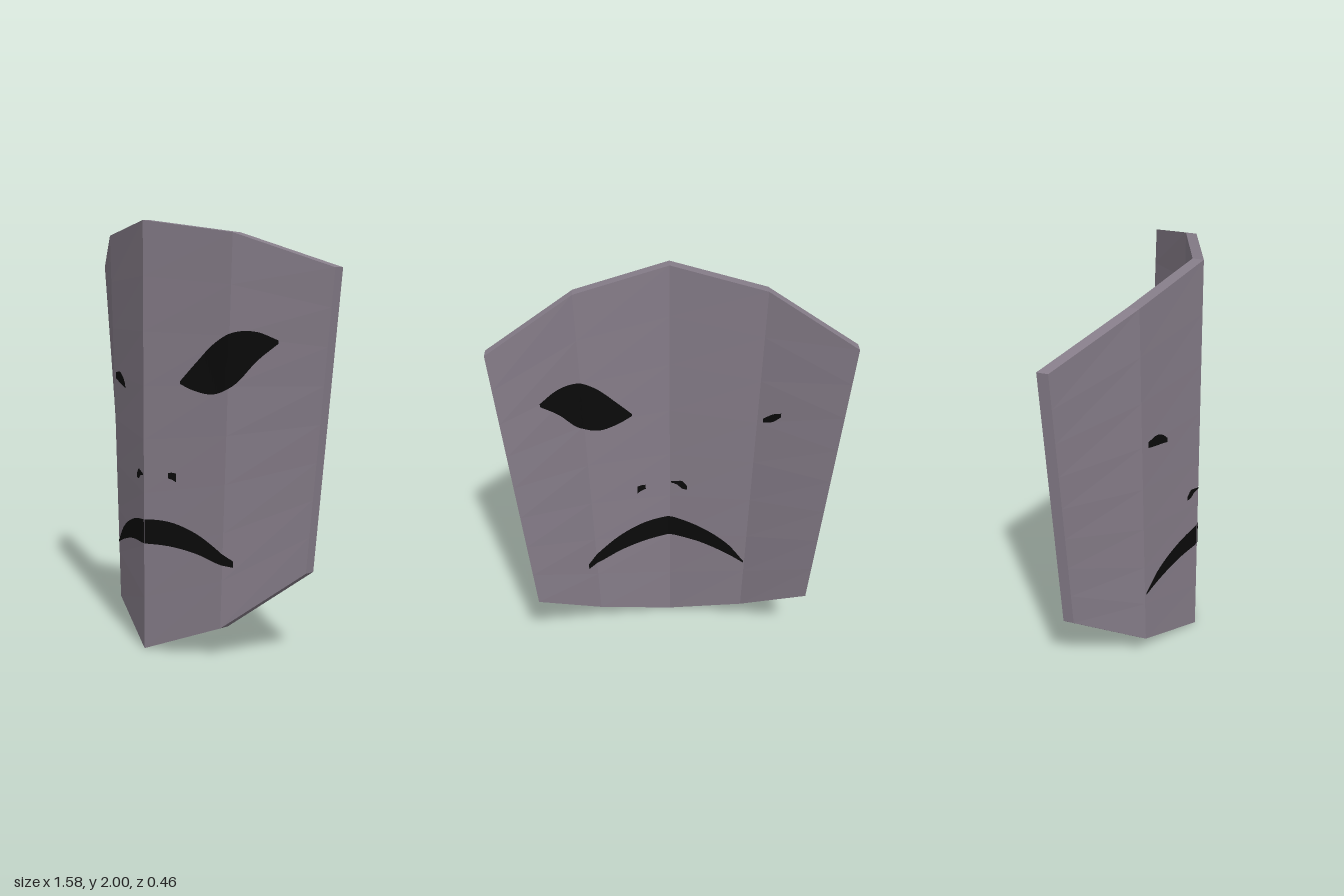
import * as THREE from 'three';

// Fold columns of one half: x and y at the top, x and y at the bottom, depth
const COLS = [
  { tx: 0, ty: 2, bx: 0, by: 0, z: 0.225 },
  { tx: 0.425, ty: 1.94, bx: 0.36, by: 0.15, z: 0.075 },
  { tx: 0.79, ty: 1.79, bx: 0.65, by: 0.42, z: -0.18 },
];
const THICK = 0.05;
const ROWS = 8;

const foldX = (c, y) => c.bx + (c.tx - c.bx) * (y - c.by) / (c.ty - c.by);

// Depth of the front surface at x, y
function depthAt(x, y) {
  const ax = Math.abs(x);
  const f1 = foldX(COLS[1], y), f2 = foldX(COLS[2], y);
  if (ax <= f1) return THREE.MathUtils.lerp(COLS[0].z, COLS[1].z, ax / f1);
  return THREE.MathUtils.lerp(COLS[1].z, COLS[2].z, (ax - f1) / (f2 - f1));
}

// Flat-faced geometry from a list of quads, corners counter-clockwise
function quadGeometry(quads) {
  const pos = [];
  for (const [a, b, c, d] of quads) for (const p of [a, b, c, a, c, d]) pos.push(...p);
  const g = new THREE.BufferGeometry();
  g.setAttribute('position', new THREE.Float32BufferAttribute(pos, 3));
  g.computeVertexNormals();
  return g;
}

// Folded shield-like plate with a constant thickness in z
function plateGeometry() {
  const all = [2, 1, 0, 1, 2].map((k, i) => ({ c: COLS[k], s: i < 2 ? -1 : 1 }));
  const pt = (i, j, back) => {
    const { c, s } = all[i], t = j / ROWS;
    return [s * (c.bx + (c.tx - c.bx) * t), c.by + (c.ty - c.by) * t, c.z - (back ? THICK : 0)];
  };
  const quads = [];
  for (let i = 0; i < 4; i++) {
    for (let j = 0; j < ROWS; j++) {
      quads.push([pt(i, j), pt(i + 1, j), pt(i + 1, j + 1), pt(i, j + 1)]);
      quads.push([pt(i + 1, j, 1), pt(i, j, 1), pt(i, j + 1, 1), pt(i + 1, j + 1, 1)]);
    }
    // top and bottom rims
    quads.push([pt(i, ROWS), pt(i + 1, ROWS), pt(i + 1, ROWS, 1), pt(i, ROWS, 1)]);
    quads.push([pt(i, 0, 1), pt(i + 1, 0, 1), pt(i + 1, 0), pt(i, 0)]);
  }
  // side rims
  quads.push([pt(0, 0, 1), pt(0, 0), pt(0, ROWS), pt(0, ROWS, 1)]);
  quads.push([pt(4, 0), pt(4, 0, 1), pt(4, ROWS, 1), pt(4, ROWS)]);
  return quadGeometry(quads);
}

// Painted patch that follows the plate; profile rows are [x, low y, high y]
function patchGeometry(profile, back) {
  const curve = new THREE.CatmullRomCurve3(profile.map((p) => new THREE.Vector3(...p)));
  const N = 32, M = 5;
  const samples = curve.getPoints(N);
  const pt = (i, j) => {
    const s = samples[i], y = THREE.MathUtils.lerp(s.y, s.z, j / M);
    return [s.x, y, depthAt(s.x, y) + (back ? -THICK - 0.004 : 0.004)];
  };
  const quads = [];
  for (let i = 0; i < N; i++) for (let j = 0; j < M; j++) {
    const q = [pt(i, j), pt(i + 1, j), pt(i + 1, j + 1), pt(i, j + 1)];
    quads.push(back ? q.reverse() : q);
  }
  return quadGeometry(quads);
}

const LEFT_EYE = [[0.18, 1.268, 1.28], [0.25, 1.24, 1.36], [0.34, 1.23, 1.455],
  [0.42, 1.27, 1.505], [0.51, 1.385, 1.51], [0.585, 1.46, 1.475]];
const MOUTH = [[-0.365, 0.43, 0.44], [-0.28, 0.465, 0.53], [-0.15, 0.5, 0.595], [0, 0.51, 0.625],
  [0.13, 0.51, 0.625], [0.25, 0.49, 0.585], [0.35, 0.455, 0.52], [0.41, 0.44, 0.47]];
const RIGHT_NOSTRIL = [[-0.085, 0.81, 0.83], [-0.06, 0.81, 0.855], [-0.035, 0.828, 0.85], [-0.005, 0.834, 0.842]];
const LEFT_NOSTRIL = [[0.12, 0.83, 0.855], [0.14, 0.825, 0.858], [0.16, 0.815, 0.855]];
const RIGHT_EYE = [[-0.365, 1.25, 1.28], [-0.31, 1.235, 1.288], [-0.27, 1.225, 1.27], [-0.235, 1.215, 1.235]];
const RIGHT_EYE_BACK = [[-0.5, 1.345, 1.365], [-0.465, 1.305, 1.345], [-0.425, 1.285, 1.305]];

export function createModel() {
  const group = new THREE.Group();
  const stone = new THREE.MeshStandardMaterial({ color: 0x857c88 });
  stone.name = 'mauve grey';
  const black = new THREE.MeshStandardMaterial({ color: 0x0a0a0a });
  black.name = 'black';
  const add = (name, geometry, material) => {
    const mesh = new THREE.Mesh(geometry, material);
    mesh.name = name;
    group.add(mesh);
  };

  add('facePlate', plateGeometry(), stone);

  // painted features on both sides of the plate
  const features = {
    leftEye: [LEFT_EYE, LEFT_EYE],
    rightEye: [RIGHT_EYE, RIGHT_EYE_BACK],
    leftNostril: [LEFT_NOSTRIL, LEFT_NOSTRIL],
    rightNostril: [RIGHT_NOSTRIL, RIGHT_NOSTRIL],
    mouth: [MOUTH, MOUTH],
  };
  for (const [name, [front, back]] of Object.entries(features)) {
    add(name + 'Front', patchGeometry(front, false), black);
    add(name + 'Back', patchGeometry(back, true), black);
  }
  return group;
}
